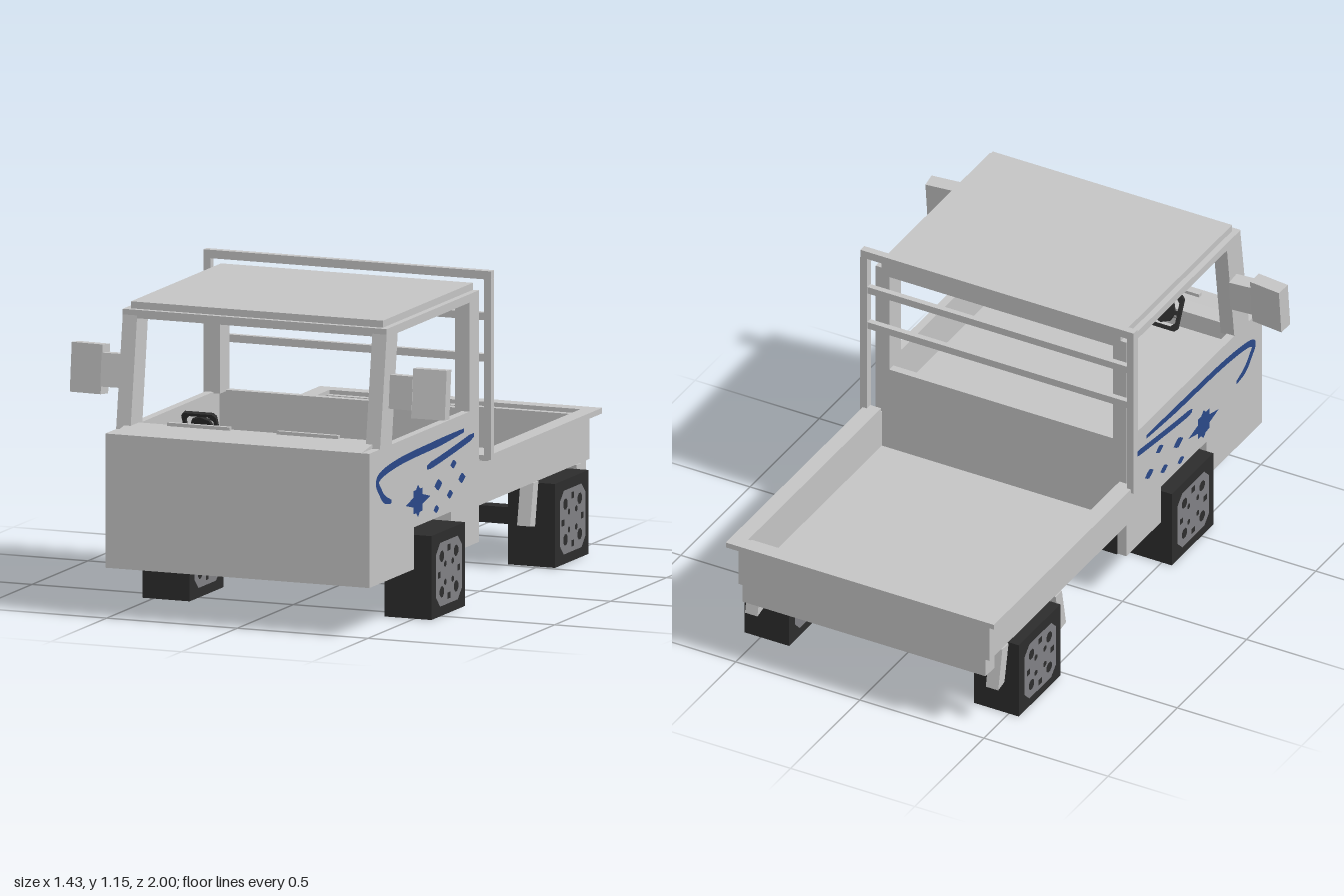
import * as THREE from 'three';

const mat = (name, color, side = THREE.FrontSide) => {
  const m = new THREE.MeshStandardMaterial({ color, side });
  m.name = name;
  return m;
};

export function createModel() {
  const body = mat('body grey', 0xc4c4c4);
  const dark = mat('rubber black', 0x2c2c2c);
  const hubGrey = mat('hub grey', 0x808084, THREE.DoubleSide);
  const blue = mat('decal blue', 0x2a4888, THREE.DoubleSide);
  const truck = new THREE.Group();
  truck.name = 'pickupTruck';

  const add = (name, geo, m, parent = truck) => {
    const mesh = new THREE.Mesh(geo, m);
    mesh.name = name;
    parent.add(mesh);
    return mesh;
  };
  // Box given by its limits on each axis
  const box = (name, x0, x1, y0, y1, z0, z1, m = body) => {
    const mesh = add(name, new THREE.BoxGeometry(x1 - x0, y1 - y0, z1 - z0), m);
    mesh.position.set((x0 + x1) / 2, (y0 + y1) / 2, (z0 + z1) / 2);
    return mesh;
  };
  // Side outline of [z, y] points, extruded from x0 to x1
  const slab = (name, pts, x0, x1, m = body) => {
    const shape = new THREE.Shape(pts.map(([z, y]) => new THREE.Vector2(-z, y)));
    const geo = new THREE.ExtrudeGeometry(shape, { depth: x1 - x0, bevelEnabled: false });
    geo.rotateY(Math.PI / 2).translate(x0, 0, 0);
    return add(name, geo, m);
  };
  // The same slab on both sides, measured outward from the centre line
  const slabPair = (name, pts, x0, x1, m) => {
    slab(name, pts, x0, x1, m);
    slab(name, pts, -x1, -x0, m);
  };

  // Cab shell
  slabPair('cabSide', [[0.02, 0.18], [0.27, 0.18], [0.27, 0.33], [0.6, 0.33], [0.6, 0.18],
    [1, 0.18], [1, 0.66], [0.02, 0.66]], 0.475, 0.505);
  box('cabFront', -0.475, 0.475, 0.18, 0.66, 0.97, 1);
  box('cabBack', -0.475, 0.475, 0.18, 0.66, 0.02, 0.05);
  box('cabFloor', -0.475, 0.475, 0.48, 0.5, 0.05, 0.97);
  box('cabUnderside', -0.475, 0.475, 0.2, 0.22, 0.05, 0.97, dark);
  box('rearUndersidePanel', -0.47, 0.47, 0.18, 0.31, 0.014, 0.02, dark);
  slab('hood', [[1, 0.64], [1, 0.66], [0.9, 0.675], [0.83, 0.675], [0.83, 0.64]], -0.475, 0.475);

  // Pillars and roof
  slabPair('frontPillar', [[0.8, 0.655], [0.905, 0.655], [0.845, 1.06], [0.745, 1.06]], 0.45, 0.505);
  box('roofFrame', -0.505, 0.505, 1.05, 1.08, 0.02, 0.845);
  box('roofPanel', -0.482, 0.482, 1.08, 1.105, 0.02, 0.825);
  for (const s of [-1, 1]) {
    const x = s * 0.4775;
    box('rearPillar', x - 0.0275, x + 0.0275, 0.655, 1.055, 0.02, 0.105);
  }

  // Wipers
  box('wiper', -0.3, -0.06, 0.69, 0.702, 0.913, 0.93);
  box('wiper', 0.12, 0.355, 0.69, 0.702, 0.913, 0.93);

  // Mirrors, leaning with the front pillars
  for (const s of [-1, 1]) {
    const arm = box('mirrorArm', s * 0.55 - 0.048, s * 0.55 + 0.048, 0.79, 0.91, 0.77, 0.825);
    const head = box('mirrorHead', s * 0.653 - 0.062, s * 0.653 + 0.062, 0.762, 0.938, 0.765, 0.82);
    arm.rotation.set(-0.1, -s * 0.08, 0);
    head.rotation.set(-0.1, s * 0.1, 0);
  }

  // Steering wheel: squared rim with a centre pad and a column
  const steering = new THREE.Group();
  steering.name = 'steeringWheel';
  const rim = new THREE.Shape();
  const chamferSquare = (path, h, c) => {
    [[h, h - c], [h - c, h], [c - h, h], [-h, h - c], [-h, c - h], [c - h, -h], [h - c, -h], [h, c - h]]
      .forEach(([x, y], i) => (i ? path.lineTo(x, y) : path.moveTo(x, y)));
    path.closePath();
    return path;
  };
  chamferSquare(rim, 0.066, 0.012);
  rim.holes.push(chamferSquare(new THREE.Path(), 0.054, 0.018));
  add('steeringRim', new THREE.ExtrudeGeometry(rim, { depth: 0.014, bevelEnabled: false }), dark, steering);
  add('steeringPad', new THREE.CylinderGeometry(0.046, 0.046, 0.012, 8).rotateX(Math.PI / 2), dark, steering);
  add('steeringSpoke', new THREE.BoxGeometry(0.11, 0.014, 0.01), dark, steering);
  add('steeringColumn', new THREE.BoxGeometry(0.024, 0.024, 0.13).translate(0, -0.02, 0.065), dark, steering);
  steering.position.set(-0.215, 0.672, 0.81);
  steering.rotation.x = 0.45;
  truck.add(steering);

  // Load bed
  for (const s of [-1, 1]) {
    const w = s * 0.4925, r = s * 0.51;
    box('bedSide', w - 0.0125, w + 0.0125, 0.31, 0.475, -0.97, 0.02);
    box('bedRimSide', r - 0.03, r + 0.03, 0.47, 0.49, -1, 0.015);
  }
  box('bedTailgate', -0.48, 0.48, 0.31, 0.475, -0.97, -0.92);
  box('bedRimBack', -0.48, 0.48, 0.47, 0.49, -1, -0.945);
  box('bedFloor', -0.48, 0.48, 0.315, 0.33, -0.92, 0.02);
  box('bedUnderside', -0.49, 0.49, 0.305, 0.315, -0.93, 0.02, dark);
  box('rearBumper', -0.49, 0.49, 0.24, 0.31, -0.97, -0.905);

  // Rack behind the cab
  for (const s of [-1, 1]) {
    const x = s * 0.537;
    box('rackPost', x - 0.0135, x + 0.0135, 0.475, 1.12, -0.01, 0.018);
  }
  box('rackTop', -0.55, 0.55, 1.12, 1.15, -0.01, 0.018);
  for (const y of [0.825, 0.973]) box('rackBar', -0.525, 0.525, y, y + 0.027, -0.007, 0.015);

  // Mud flaps around the rear wheels
  slabPair('mudFlapFront', [[-0.425, 0.16], [-0.47, 0.152], [-0.5, 0.31], [-0.455, 0.31]], 0.46, 0.51);
  slabPair('mudFlapBack', [[-0.87, 0.165], [-0.915, 0.155], [-0.885, 0.31], [-0.84, 0.31]], 0.46, 0.51);

  // Wheels, hubs and axles
  const hub = chamferSquare(new THREE.Shape(), 0.114, 0.035);
  const hole = (x, y, r, n) => {
    const p = new THREE.Path();
    for (let i = 0; i < n; i++) {
      const a = (i + 0.5) * 2 * Math.PI / n;
      if (i) p.lineTo(x + r * Math.cos(a), y + r * Math.sin(a));
      else p.moveTo(x + r * Math.cos(a), y + r * Math.sin(a));
    }
    p.closePath();
    hub.holes.push(p);
  };
  for (let i = 0; i < 4; i++) {
    const a = i * Math.PI / 2, d = a + Math.PI / 4;
    hole(0.09 * Math.cos(d), 0.09 * Math.sin(d), 0.021, 8);
    hole(0.086 * Math.cos(a), 0.086 * Math.sin(a), 0.016, 4);
    hole(0.046 * Math.cos(d), 0.046 * Math.sin(d), 0.012, 6);
  }
  const hubGeo = new THREE.ShapeGeometry(hub);
  for (const z of [0.435, -0.67]) {
    for (const x of [-0.45, 0.475]) {
      box('wheel', x - 0.09, x + 0.09, 0, 0.3, z - 0.15, z + 0.15, dark);
      for (const s of [-1, 1]) {
        const face = add('hubFace', hubGeo, hubGrey);
        face.position.set(x + s * 0.093, 0.15, z);
        face.rotation.y = s * Math.PI / 2;
      }
    }
    box('axle', -0.37, 0.39, 0.12, 0.18, z - 0.03, z + 0.03, dark);
  }

  // Side decals: two sweeping strokes, a star and small spots
  const stroke = (pts, w) => {
    const curve = new THREE.SplineCurve(pts.map(([z, y]) => new THREE.Vector2(z, y)));
    const a = [], b = [], n = 32;
    for (let i = 0; i <= n; i++) {
      const p = curve.getPoint(i / n), t = curve.getTangent(i / n);
      const h = w / 2 * Math.min(1, 0.5 + 4 * Math.min(i, n - i) / n);
      a.push([p.x - t.y * h, p.y + t.x * h]);
      b.unshift([p.x + t.y * h, p.y - t.x * h]);
    }
    return [...a, ...b];
  };
  const radial = (cz, cy, n, radius) => Array.from({ length: n }, (_, i) => {
    const a = i * 2 * Math.PI / n, r = radius(i);
    return [cz + r * Math.cos(a), cy + r * Math.sin(a)];
  });
  const decals = [
    stroke([[0.16, 0.603], [0.4, 0.596], [0.7, 0.59], [0.88, 0.572], [0.935, 0.547], [0.91, 0.51],
      [0.87, 0.475], [0.81, 0.457]], 0.027),
    stroke([[0.49, 0.525], [0.38, 0.535], [0.22, 0.553], [0.07, 0.572]], 0.025),
    radial(0.572, 0.42, 16, (i) => (i % 8 === 0 ? 0.11 : i % 2 ? 0.045 : 0.058)),
  ];
  for (const [z, y, r] of [[0.39, 0.447, 0.024], [0.255, 0.498, 0.019], [0.18, 0.436, 0.022],
    [0.287, 0.396, 0.019], [0.408, 0.363, 0.017]]) {
    decals.push(radial(z, y, 8, (i) => (i % 4 === 0 ? r * 1.45 : r * 0.85)));
  }
  for (const s of [-1, 1]) {
    for (const pts of decals) {
      const shape = new THREE.Shape(pts.map(([z, y]) => new THREE.Vector2(-s * z, y)));
      const decal = add('sideDecal', new THREE.ShapeGeometry(shape), blue);
      decal.rotation.y = s * Math.PI / 2;
      decal.position.x = s * 0.508;
    }
  }
  return truck;
}
